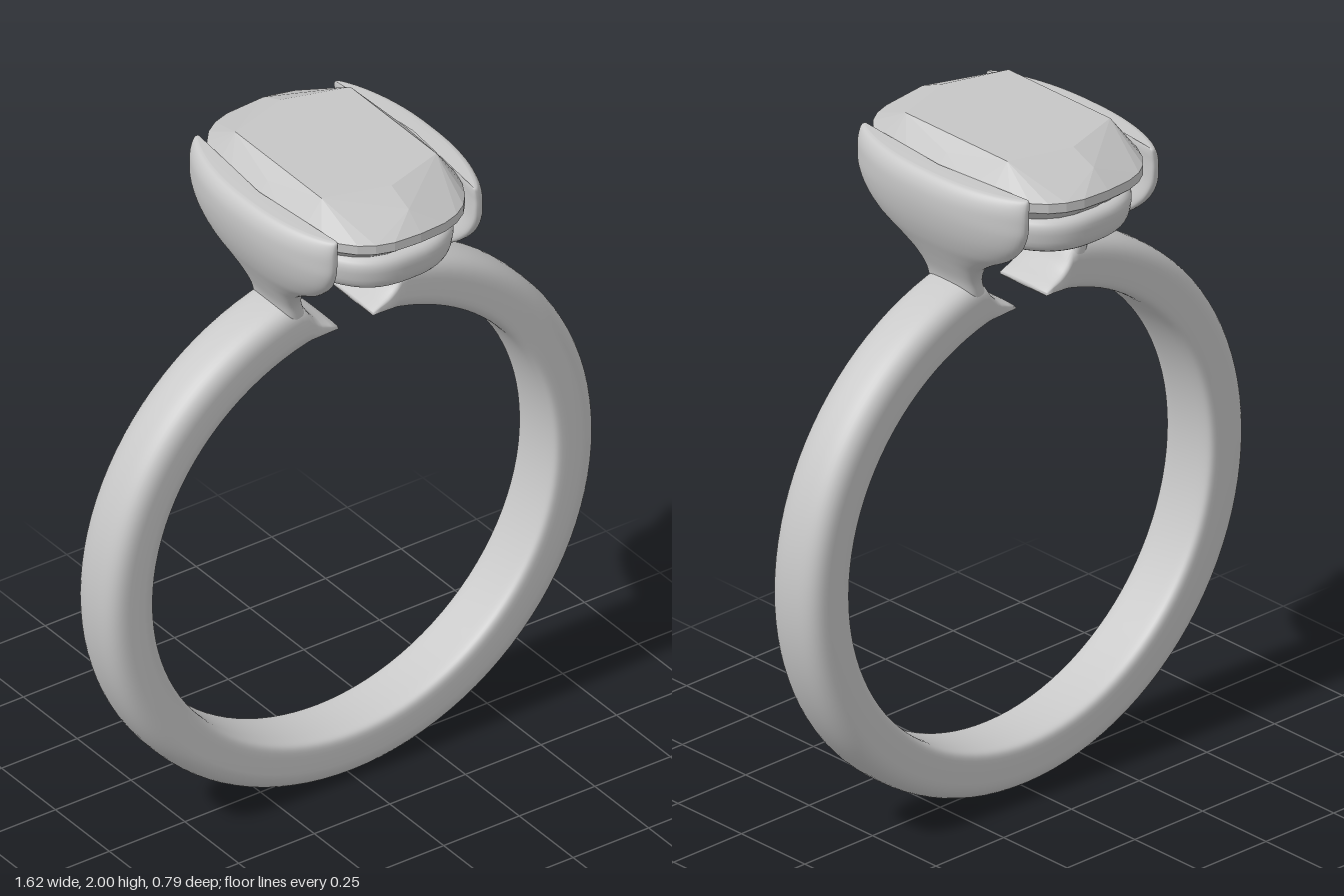
import * as THREE from 'three';
import { ConvexGeometry } from 'three/addons/geometries/ConvexGeometry.js';

const spow = (v, e) => Math.sign(v) * Math.abs(v) ** e;
const lerp = THREE.MathUtils.lerp;

// Skin a list of equal-length closed rings; capped at both ends unless it loops
function loft(rings, looped = false) {
  const m = rings[0].length, n = rings.length;
  const pts = rings.flat(), index = [];
  for (let i = 0; i < (looped ? n : n - 1); i++) {
    for (let j = 0; j < m; j++) {
      const a = i * m + j, b = i * m + (j + 1) % m;
      const c = ((i + 1) % n) * m + j, d = ((i + 1) % n) * m + (j + 1) % m;
      index.push(a, b, d, a, d, c);
    }
  }
  if (!looped) {
    for (const [r, flip] of [[0, true], [n - 1, false]]) {
      const centre = new THREE.Vector3();
      rings[r].forEach(p => centre.addScaledVector(p, 1 / m));
      const k = pts.push(centre) - 1;
      for (let j = 0; j < m; j++) {
        const a = r * m + j, b = r * m + (j + 1) % m;
        index.push(...(flip ? [k, b, a] : [k, a, b]));
      }
    }
  }
  // Turn the faces outward if the enclosed volume is negative
  let volume = 0;
  const cross = new THREE.Vector3();
  for (let i = 0; i < index.length; i += 3) {
    volume += pts[index[i]].dot(cross.crossVectors(pts[index[i + 1]], pts[index[i + 2]]));
  }
  if (volume < 0) index.reverse();
  const g = new THREE.BufferGeometry().setFromPoints(pts);
  g.setIndex(index);
  g.computeVertexNormals();
  return g;
}

// Rounded section: u runs from inner (-1) to outer (1), v across the width
function section(innerPower, outerPower, place, count = 40) {
  return Array.from({ length: count }, (_, i) => {
    const t = (i + 0.5) / count * Math.PI * 2, c = Math.cos(t), s = Math.sin(t);
    const e = 2 / (c > 0 ? outerPower : innerPower);
    return place(spow(c, e), spow(s, e));
  });
}

// Cushion outline in the horizontal plane
function cushion(a, b, y, count, power = 2.8) {
  return Array.from({ length: count }, (_, i) => {
    const t = i / count * Math.PI * 2;
    return new THREE.Vector3(a * spow(Math.cos(t), 2 / power), y, b * spow(Math.sin(t), 2 / power));
  });
}

export function createModel() {
  const group = new THREE.Group();
  const metal = new THREE.MeshStandardMaterial({ color: 0xc8c8c8 });
  metal.name = 'polished metal';
  const stone = new THREE.MeshStandardMaterial({ color: 0xc6c6c6, flatShading: true });
  stone.name = 'pale stone';
  const add = (name, geometry, material) => {
    const mesh = new THREE.Mesh(geometry, material);
    mesh.name = name;
    group.add(mesh);
  };

  // Band: open at the top, tapering to a thin foot at each end [degrees, outer radius]
  const foot = [[5, 0.675], [7, 0.694], [9, 0.714], [10, 0.73], [11, 0.755], [12, 0.795], [13.5, 0.81]];
  const stations = [...foot];
  for (let i = 1; i < 96; i++) stations.push([lerp(13.5, 346.5, i / 96), 0.81]);
  foot.slice().reverse().forEach(([d, r]) => stations.push([360 - d, r]));
  add('band', loft(stations.map(([deg, outer]) => {
    const f = THREE.MathUtils.degToRad(deg);
    return section(7, 2.9, (u, v) => {
      const r = lerp(0.66, outer, (u + 1) / 2);
      return new THREE.Vector3(r * Math.sin(f), 0.81 + r * Math.cos(f), v * 0.093);
    });
  })), metal);

  // Holders: narrow stems flaring into curved claws [y, inner x, outer x, half width, bend]
  const profile = [
    [1.53, 0.13, 0.225, 0.09, 0], [1.56, 0.15, 0.228, 0.091, 0], [1.6, 0.165, 0.236, 0.096, 0],
    [1.65, 0.18, 0.258, 0.125, 0.004], [1.69, 0.193, 0.278, 0.18, 0.012],
    [1.73, 0.212, 0.298, 0.25, 0.025], [1.78, 0.235, 0.317, 0.3, 0.04],
    [1.83, 0.255, 0.329, 0.325, 0.053], [1.87, 0.264, 0.333, 0.33, 0.06],
    [1.9, 0.265, 0.331, 0.33, 0.06], [1.922, 0.266, 0.323, 0.329, 0.06],
    [1.936, 0.271, 0.311, 0.326, 0.06], [1.94, 0.28, 0.298, 0.318, 0.06],
  ];
  const curve = k => new THREE.CatmullRomCurve3(
    profile.map(p => new THREE.Vector3(p[0], p[k], p[k + 1])), false, 'centripetal');
  const [edges, widths] = [curve(1), curve(3)];
  const steps = (profile.length - 1) * 4;
  for (const [name, side] of [['leftClaw', 1], ['rightClaw', -1]]) {
    const rings = [];
    for (let i = 0; i <= steps; i++) {
      const { x: y, y: inner, z: outer } = edges.getPoint(i / steps);
      const { y: w, z: bend } = widths.getPoint(i / steps);
      rings.push(section(3.2, 2.8, (u, v) => new THREE.Vector3(
        side * (lerp(inner, outer, (u + 1) / 2) - bend * Math.abs(v) ** 2.3), y, v * w), 64));
    }
    add(name, loft(rings), metal);
  }

  // Gallery: rounded cushion-shaped ring under the stone
  const gallery = section(3, 2.8, (u, v) => [u, v], 28).map(([u, v]) => {
    const inset = (1 - u) * 0.05 + (1 - v) * 0.008;
    return cushion(0.25 - inset, 0.377 - inset, 1.795 + v * 0.055, 80, 2.6);
  });
  add('gallery', loft(gallery, true), metal);

  // Stone: flat table, faceted crown, thin girdle and deep pavilion
  const table = [[0, 0.258], [0.19, 0.2], [0.19, -0.2], [0, -0.258], [-0.19, -0.2], [-0.19, 0.2]]
    .map(([x, z]) => new THREE.Vector3(x, 2, z));
  add('stone', new ConvexGeometry([
    ...table,
    ...cushion(0.228, 0.338, 1.966, 8),
    ...cushion(0.266, 0.395, 1.918, 32),
    ...cushion(0.266, 0.395, 1.89, 32),
    ...cushion(0.04, 0.06, 1.63, 8, 2),
  ]), stone);

  return group;
}
